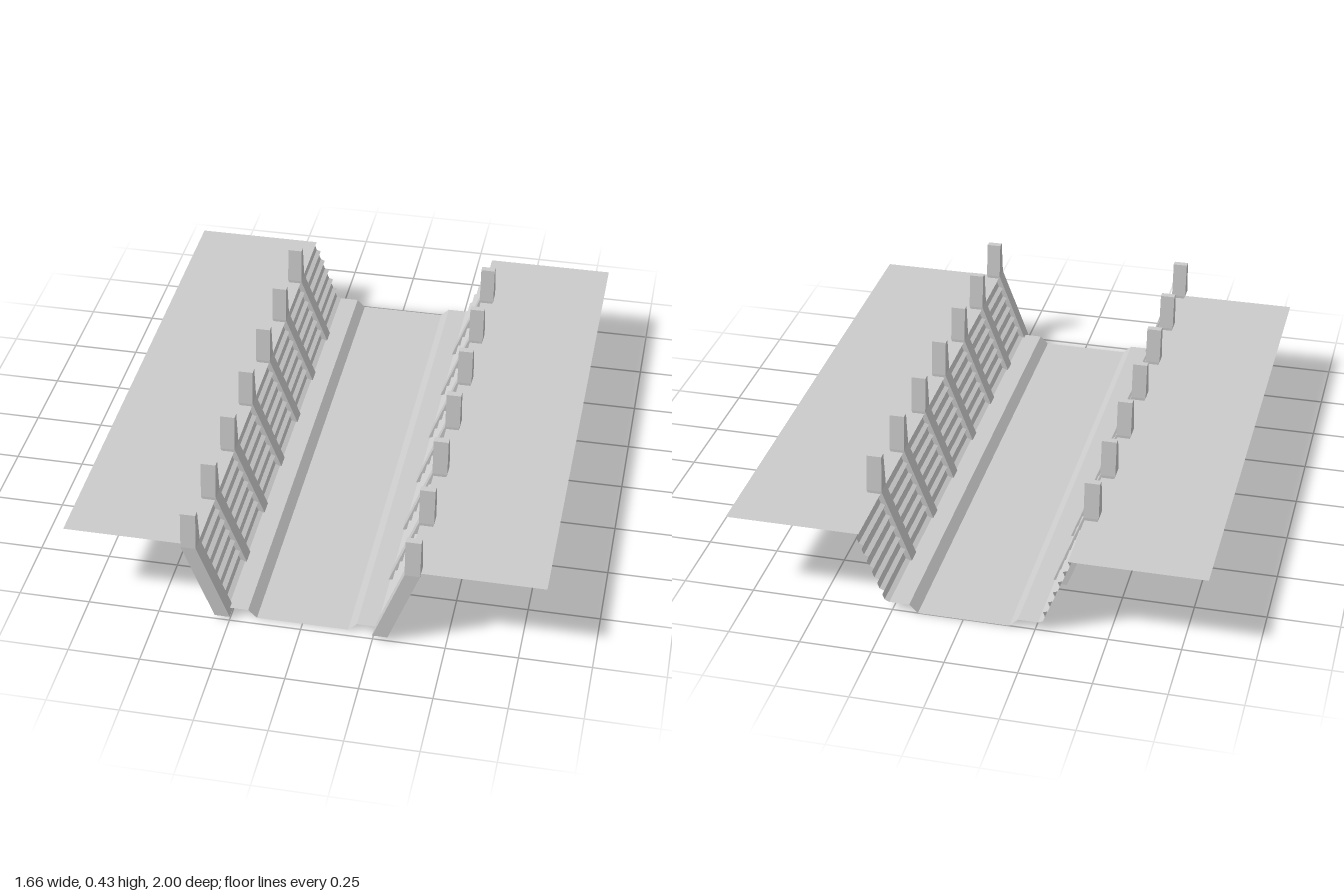
import * as THREE from 'three';

const sheetMaterial = new THREE.MeshStandardMaterial({ color: 0xcccccc, flatShading: true, side: THREE.DoubleSide });
const postMaterial = new THREE.MeshStandardMaterial({ color: 0xcccccc, flatShading: true });
const BACK = -1, FRONT = 0.97;

// Thin sheet: an [x, y] profile, listed from -x to +x, swept along z
function sheet(name, profile) {
  const n = profile.length;
  const geometry = new THREE.PlaneGeometry(1, 1, n - 1, 1);
  const pos = geometry.attributes.position;
  for (let i = 0; i < pos.count; i++) {
    const [x, y] = profile[i % n];
    pos.setXYZ(i, x, y, i < n ? BACK : FRONT);
  }
  geometry.computeVertexNormals();
  const mesh = new THREE.Mesh(geometry, sheetMaterial);
  mesh.name = name;
  return mesh;
}

// Mirrors a +x profile to -x, keeping the order from -x to +x
const forSide = (profile, side) =>
  side > 0 ? profile : profile.map(([x, y]) => [-x, y]).reverse();

// Sloping wall of stacked planks, each bulging slightly outwards
function wallProfile() {
  const planks = 6, bulge = 0.012;
  const points = [];
  const onSlope = (t, out) => [0.26 + 0.1 * t + out, 0.03 + 0.26 * t - out * 0.38];
  for (let i = 0; i < planks; i++) {
    points.push(onSlope((i + 0.02) / planks, 0));
    points.push(onSlope((i + 0.28) / planks, bulge));
    points.push(onSlope((i + 0.72) / planks, bulge));
  }
  points[0] = [0.26, 0.03];
  points.push([0.36, 0.29]);
  return points;
}

// Slanted support with an upright top that tapers along z
function post(side, z) {
  const levels = [
    { y: 0.015, x: 0.275, depth: 0.055 },
    { y: 0.30, x: 0.383, depth: 0.055 },
    { y: 0.43, x: 0.383, depth: 0.025 },
  ];
  const geometry = new THREE.BoxGeometry(0.053, 2, 1, 1, 2, 1);
  const pos = geometry.attributes.position;
  for (let i = 0; i < pos.count; i++) {
    const level = levels[Math.round(pos.getY(i)) + 1];
    pos.setXYZ(i, pos.getX(i) + side * level.x, level.y, pos.getZ(i) * level.depth);
  }
  geometry.computeVertexNormals();
  const mesh = new THREE.Mesh(geometry, postMaterial);
  mesh.position.z = z;
  return mesh;
}

export function createModel() {
  const model = new THREE.Group();
  model.name = 'trench';

  // Sunken floor with a raised ledge along each wall
  const ledge = [[0.16, 0], [0.19, 0.03], [0.26, 0.03]];
  model.add(sheet('trenchFloor', [...forSide(ledge, -1), ...ledge]));

  for (const side of [1, -1]) {
    const label = side > 0 ? 'left' : 'right';
    model.add(sheet(label + 'PlankWall', forSide(wallProfile(), side)));
    model.add(sheet(label + 'Ground', forSide([[0.36, 0.29], [0.83, 0.29]], side)));

    // Row of supports holding the planks
    const posts = new THREE.Group();
    posts.name = label + 'Posts';
    for (let i = 0; i < 7; i++) {
      const p = post(side, 0.9725 - i * 0.281);
      p.name = label + 'Post' + (i + 1);
      posts.add(p);
    }
    model.add(posts);
  }
  return model;
}
